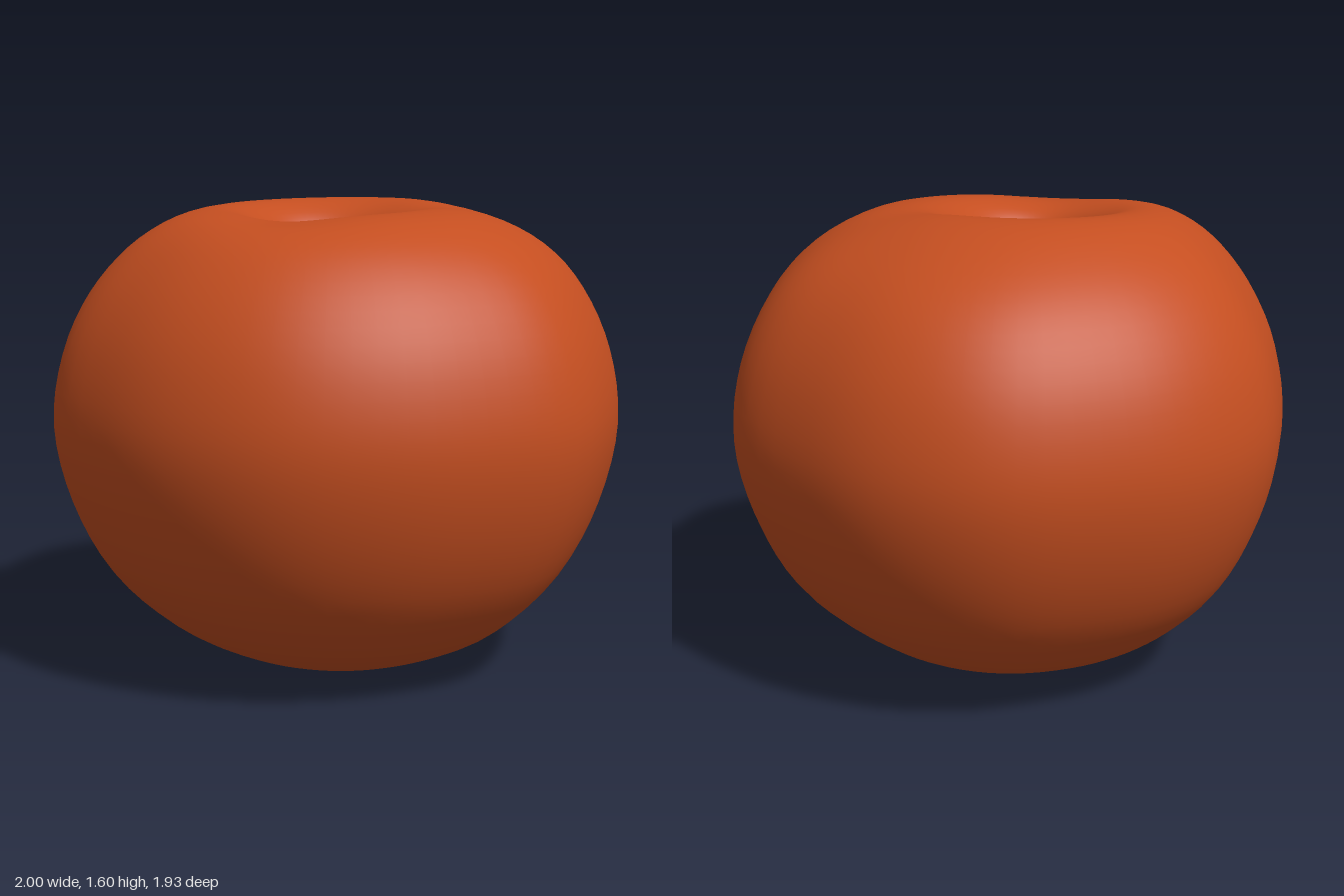
import * as THREE from 'three';
import { mergeVertices } from 'three/addons/utils/BufferGeometryUtils.js';

const skin = new THREE.MeshStandardMaterial({ color: 0xc44e20 });
skin.name = 'orange red skin';
const core = new THREE.MeshStandardMaterial({ color: 0xba884c, flatShading: true, side: THREE.DoubleSide });
core.name = 'tan core';

// Outline seen from above: radius every 20 degrees, from +x towards +z
const OUTLINE = [1, 0.96, 0.968, 1, 0.967, 0.963, 0.975, 0.975, 0.975,
  1, 0.94, 0.925, 0.97, 0.972, 0.972, 1.005, 1.005, 0.985];
const DIMPLE = { x: -0.055, z: 0.018 };
const rad = THREE.MathUtils.degToRad;

// Smooth periodic lookup in the outline
function outlineAt(angle) {
  const n = OUTLINE.length;
  const t = ((angle / (2 * Math.PI)) * n + n) % n;
  const i = Math.floor(t), f = t - i;
  const [a, b, c, d] = [-1, 0, 1, 2].map((k) => OUTLINE[(i + k + n) % n]);
  return b + 0.5 * f * (c - a + f * (2 * a - 5 * b + 4 * c - d + f * (3 * (b - c) + d - a)));
}

// Bell-shaped weight around a direction
const lobe = (angle, centre, width) => {
  const d = Math.atan2(Math.sin(angle - centre), Math.cos(angle - centre));
  return Math.exp(-((d / width) ** 2));
};

// Lathe without seam, so that moved vertices shade smoothly
function weldedLathe(points, segments) {
  const g = new THREE.LatheGeometry(points, segments);
  g.deleteAttribute('uv');
  g.deleteAttribute('normal');
  return mergeVertices(g, 1e-5);
}

function fruitGeometry() {
  const profile = [[0, 0.012], [0.15, 0.002], [0.29, 0.015], [0.45, 0.068], [0.63, 0.168],
    [0.82, 0.355], [0.945, 0.6], [1, 0.86], [0.965, 1.1], [0.87, 1.3], [0.73, 1.45],
    [0.55, 1.55], [0.38, 1.58], [0.26, 1.54], [0.2, 1.47], [0.165, 1.38], [0.13, 1.25], [0, 1.2]];
  const curve = new THREE.SplineCurve(profile.map(([r, y]) => new THREE.Vector2(r, y)));
  const points = curve.getPoints(68).map((p) => p.setX(Math.max(p.x, 0)));
  const g = weldedLathe(points, 72);
  const pos = g.attributes.position;
  for (let i = 0; i < pos.count; i++) {
    let x = pos.getX(i), y = pos.getY(i), z = pos.getZ(i);
    const r = Math.hypot(x, z), angle = Math.atan2(z, x);
    // Uneven girth
    const s = 1 + (outlineAt(angle) - 1) * THREE.MathUtils.smoothstep(r, 0.2, 0.9);
    x *= s;
    z *= s;
    // Off-centre dimple, raised shoulder and shallow valleys on top
    const top = THREE.MathUtils.smoothstep(y, 1.1, 1.5);
    const near = top * (1 - THREE.MathUtils.smoothstep(r, 0.3, 0.85));
    const crest = top * Math.exp(-(((r - 0.42) / 0.2) ** 2));
    x += DIMPLE.x * near;
    z += DIMPLE.z * near;
    y += crest * (0.02 * Math.cos(angle + rad(55))
      - 0.02 * lobe(angle, rad(130), 0.5) - 0.015 * lobe(angle, rad(10), 0.4));
    pos.setXYZ(i, x, y, z);
  }
  g.computeVertexNormals();
  return g;
}

// Rough faceted bowl at the bottom of the dimple
function hollowGeometry() {
  const profile = [[0.205, 1.465], [0.17, 1.42], [0.12, 1.345], [0.06, 1.3], [0, 1.29]];
  const g = weldedLathe(profile.map(([r, y]) => new THREE.Vector2(r, y)), 12);
  const pos = g.attributes.position;
  let seed = 7;
  const jitter = () => ((seed = (seed * 16807) % 2147483647) / 2147483647 - 0.5);
  for (let i = 0; i < pos.count; i++) {
    const s = 1 + 0.1 * jitter();
    pos.setXYZ(i, pos.getX(i) * s + DIMPLE.x, pos.getY(i) + 0.025 * jitter(), pos.getZ(i) * s + DIMPLE.z);
  }
  g.computeVertexNormals();
  return g;
}

export function createModel() {
  const model = new THREE.Group();
  model.name = 'fruit';
  const add = (name, geometry, material) => {
    const mesh = new THREE.Mesh(geometry, material);
    mesh.name = name;
    model.add(mesh);
    return mesh;
  };
  add('fruitBody', fruitGeometry(), skin);
  add('stemHollow', hollowGeometry(), core);
  // Tiny blossom end underneath
  add('blossomEnd', new THREE.CylinderGeometry(0.018, 0.018, 0.009, 7), core).position.set(-0.01, 0.0045, 0.1);
  return model;
}
